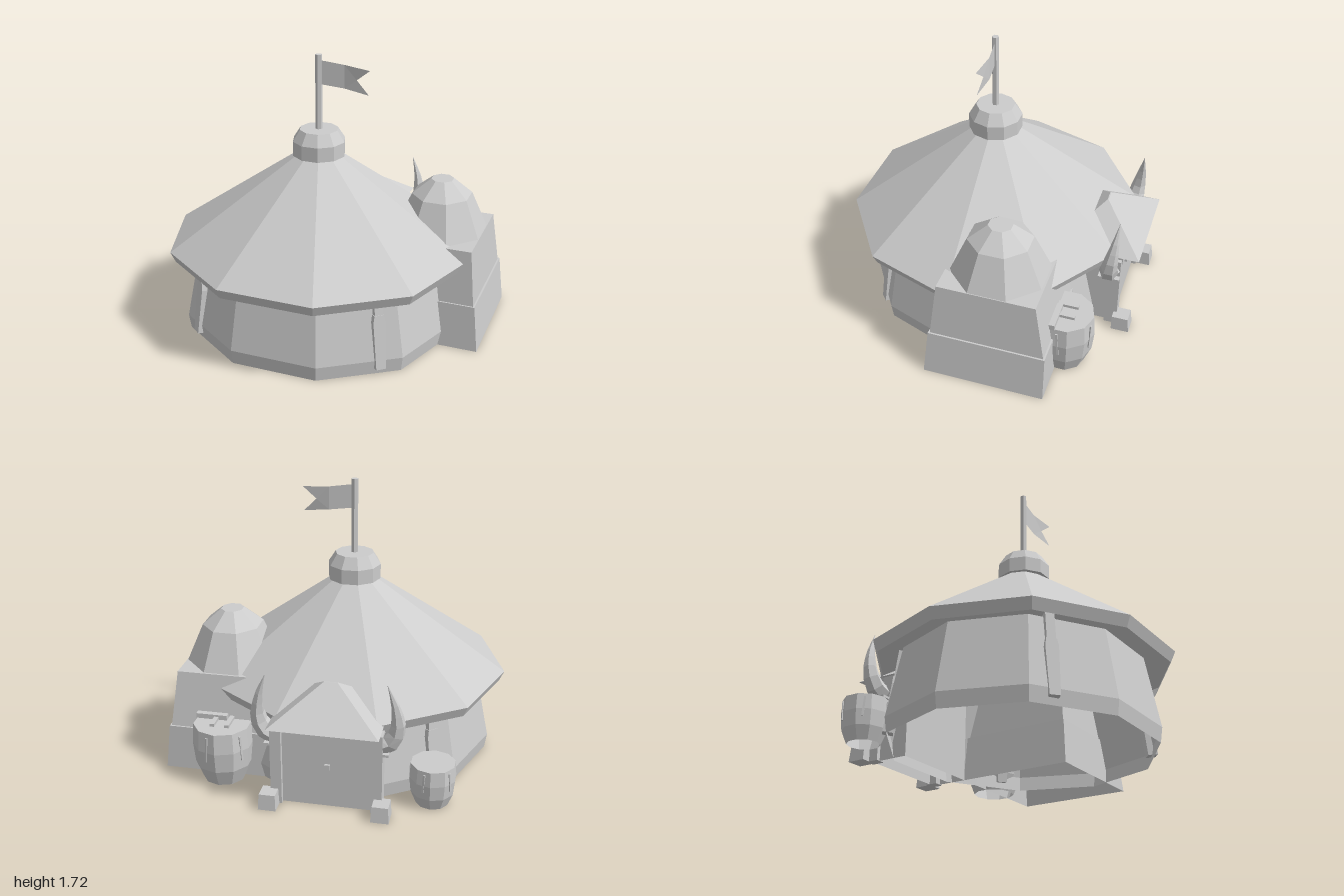
import * as THREE from 'three';

const canvas = new THREE.MeshStandardMaterial({ color: 0xcccccc, flatShading: true, side: THREE.DoubleSide });
canvas.name = 'plain grey';

function add(parent, name, geo, x = 0, y = 0, z = 0) {
  const m = new THREE.Mesh(geo, canvas);
  m.name = name;
  m.position.set(x, y, z);
  parent.add(m);
  return m;
}

// Faceted shell from [radius, height] pairs, bottom to top
const shell = (pts, sides, start = 0) =>
  new THREE.LatheGeometry(pts.map(p => new THREE.Vector2(...p)), sides, start);

// Box whose bottom and top rectangles [x0, x1, z0, z1] differ
function taperBox(y0, b, y1, t) {
  const g = new THREE.BoxGeometry(1, 1, 1);
  const p = g.attributes.position;
  for (let i = 0; i < p.count; i++) {
    const r = p.getY(i) > 0 ? t : b;
    p.setXYZ(i, p.getX(i) > 0 ? r[1] : r[0], p.getY(i) > 0 ? y1 : y0, p.getZ(i) > 0 ? r[3] : r[2]);
  }
  g.computeVertexNormals();
  return g;
}

const box = (x0, x1, y0, y1, z0, z1) => taperBox(y0, [x0, x1, z0, z1], y1, [x0, x1, z0, z1]);

// Drops the bottom face of a box (the fourth of its six sides)
function bottomless(g) {
  const idx = Array.from(g.index.array);
  idx.splice(18, 6);
  g.setIndex(idx);
  g.clearGroups();
  return g;
}

// Curved horn: shrinking rings along a bent path
function hornGeometry(side) {
  const curve = new THREE.CatmullRomCurve3([
    [0, 0.02, 0], [0.05, 0.04, 0], [0.095, 0.12, -0.01], [0.085, 0.27, -0.03], [0.04, 0.41, -0.045],
  ].map(([x, y, z]) => new THREE.Vector3(x * side, y, z)));
  const segs = 7, sides = 6;
  const g = new THREE.TubeGeometry(curve, segs, 0.064, sides);
  const p = g.attributes.position, v = new THREE.Vector3();
  for (let i = 0; i < p.count; i++) {
    const t = Math.floor(i / (sides + 1)) / segs;
    const c = curve.getPointAt(t);
    v.fromBufferAttribute(p, i).sub(c).multiplyScalar(Math.max(0.02, 1 - t ** 1.3)).add(c);
    p.setXYZ(i, v.x, v.y, v.z);
  }
  g.computeVertexNormals();
  return g;
}

function barrel(name, r, h, x, z) {
  const g = new THREE.Group();
  g.name = name;
  g.position.set(x, 0, z);
  add(g, 'barrelBody', shell([[r * 0.7, 0], [r * 0.93, h * 0.3], [r, h * 0.65], [r * 0.95, h], [0, h]], 10));
  // thin slanted splits in the staves
  for (let i = 0; i < 5; i++) {
    const a = (i + 0.25) * Math.PI * 0.4;
    const s = add(g, 'staveSplit', new THREE.BoxGeometry(0.012, h * 0.45, 0.008),
      Math.sin(a) * r * 0.95, h * 0.7, Math.cos(a) * r * 0.95);
    s.rotation.set(0, a, i % 2 ? 0.08 : -0.08, 'YXZ');
  }
  return g;
}

export function createModel() {
  const model = new THREE.Group();
  model.name = 'tent';
  const cx = -0.054, cz = 0.073, turn = Math.PI / 10;

  // Ten-sided wall and roof
  add(model, 'wall', shell([[0.85, 0], [0.864, 0.09], [0.775, 0.52]], 10, turn), cx, 0, cz).scale.z = 0.912;
  add(model, 'roof', shell([[0.916, 0.475], [0.946, 0.54], [0.14, 1.1]], 10, turn), cx, 0, cz).scale.z = 0.944;
  add(model, 'roofCap', shell([[0.13, 1.1], [0.162, 1.1], [0.162, 1.19], [0.118, 1.26], [0, 1.26]], 10, turn), cx, 0, cz);
  add(model, 'flagPole', new THREE.CylinderGeometry(0.021, 0.021, 0.46, 6), cx, 1.485, cz);

  // Swallow-tailed flag with a slight wave
  const f = new THREE.Shape([[-0.045, 1.535], [0.1, 1.52], [0.26, 1.5], [0.18, 1.58], [0.265, 1.648],
    [0.1, 1.662], [-0.045, 1.68]].map(p => new THREE.Vector2(...p)));
  const flag = new THREE.ShapeGeometry(f);
  const fp = flag.attributes.position;
  for (let i = 0; i < fp.count; i++) fp.setZ(i, cz - 0.015 * Math.sin((fp.getX(i) + 0.045) * 12));
  add(model, 'flag', flag);

  // Props leaning in against the wall
  for (const sx of [-1, 1]) for (const sz of [-1, 1]) {
    const prop = new THREE.Group();
    prop.name = 'wallProp';
    prop.position.set(cx + sx * 0.58, 0.04, cz + sz * 0.535);
    prop.rotation.set(-0.13, Math.atan2(sx * 0.6, sz * 0.7), 0, 'YXZ');
    add(prop, 'propFoot', taperBox(0, [-0.03, 0.03, -0.03, 0.03], 0.29, [-0.038, 0.038, -0.03, 0.03]));
    add(prop, 'propCollar', taperBox(0.29, [-0.038, 0.038, -0.03, 0.03], 0.335, [-0.03, 0.03, -0.03, 0.03]));
    add(prop, 'propTop', box(-0.026, 0.026, 0.335, 0.5, -0.026, 0.026));
    model.add(prop);
  }

  // Side tower, reaching well inside the tent, with a faceted dome
  add(model, 'towerBase', bottomless(taperBox(0, [0.24, 1, -0.555, 0.18], 0.283, [0.27, 0.967, -0.552, 0.155])));
  add(model, 'towerTop', bottomless(taperBox(0.28, [0.28, 0.957, -0.542, 0.146], 0.62, [0.32, 0.92, -0.48, 0.11])));
  add(model, 'towerDome', shell([[0.285, 0.62], [0.185, 0.845], [0.07, 0.94], [0, 0.94]], 8, Math.PI / 8),
    0.652, 0, -0.19).scale.z = 1.05;

  // Porch with hipped roof
  const porch = new THREE.Group();
  porch.name = 'porch';
  porch.position.x = -0.06;
  model.add(porch);
  add(porch, 'porchRoof', bottomless(taperBox(0.53, [-0.32, 0.32, -0.925, -0.4], 0.73, [-0.04, 0.04, -0.662, -0.655])));
  add(porch, 'porchBody', bottomless(box(-0.3, 0.3, 0, 0.53, -0.79, -0.55)));
  add(porch, 'doorLintel', box(-0.3, 0.3, 0.47, 0.53, -0.825, -0.78));
  add(porch, 'doorHandle', box(-0.02, 0.01, 0.24, 0.275, -0.805, -0.79));
  for (const s of [-1, 1]) {
    const side = (a, b) => [Math.min(a * s, b * s), Math.max(a * s, b * s)];
    add(porch, 'doorPost', box(...side(0.26, 0.325), 0, 0.5, -0.82, -0.74));
    add(porch, 'hornLedge', box(...side(0.28, 0.36), 0.375, 0.39, -0.82, -0.69));
    add(porch, 'footBlock', taperBox(0, [...side(0.275, 0.38), -0.91, -0.8], 0.095, [...side(0.28, 0.375), -0.9, -0.8]));
    add(porch, 'horn', hornGeometry(s), s * 0.305, 0.4, -0.755);
  }

  // Barrels beside the porch
  model.add(barrel('smallBarrel', 0.138, 0.26, -0.65, -0.62));
  const big = barrel('largeBarrel', 0.183, 0.36, 0.62, -0.577);
  model.add(big);
  add(big, 'lidPlank', box(-0.02, 0.17, 0.355, 0.39, 0.02, 0.065));
  for (const x of [-0.045, 0.045]) add(big, 'lidBar', box(x - 0.014, x + 0.014, 0.355, 0.378, -0.07, 0.07));

  return model;
}
